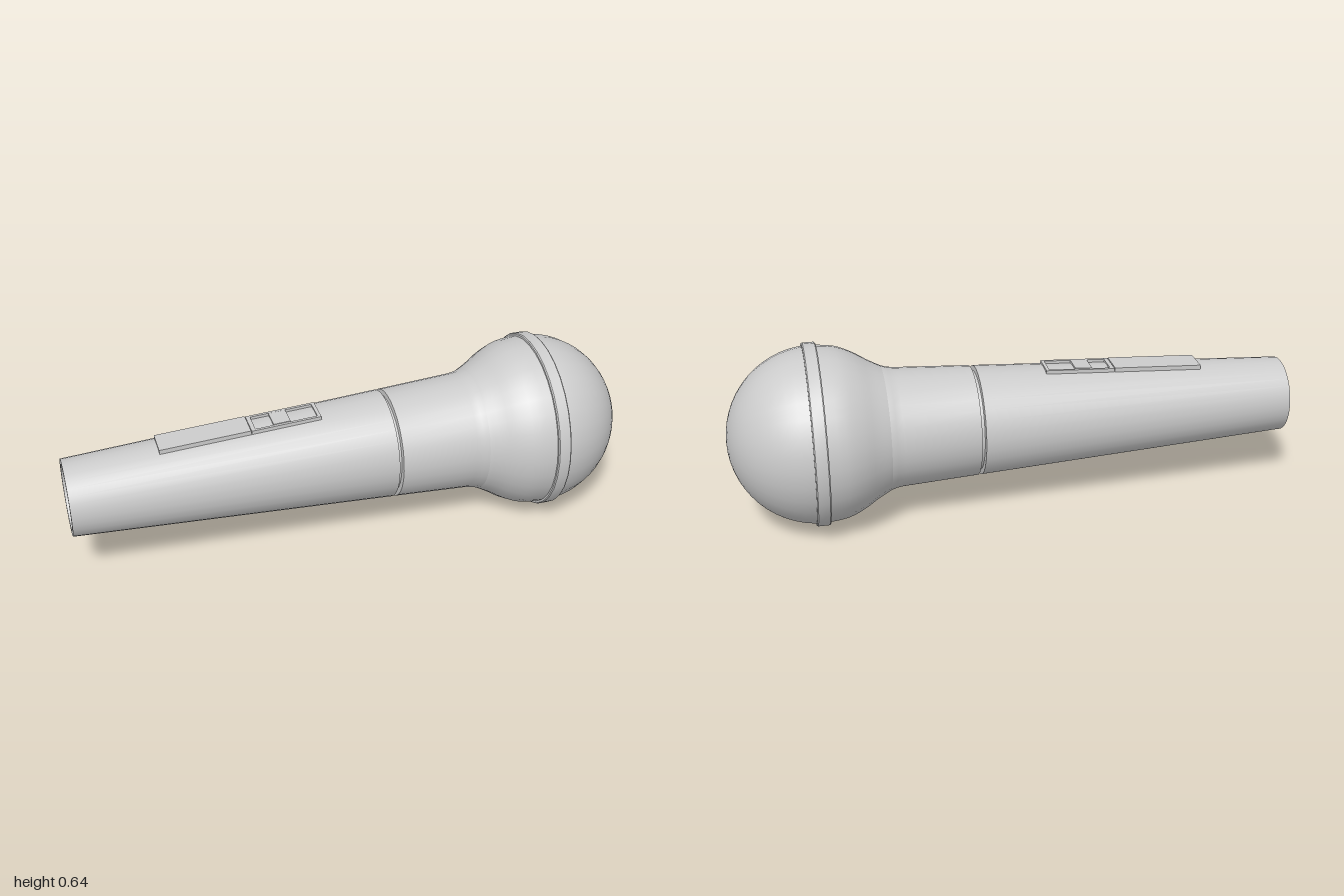
import * as THREE from 'three';
import { toCreasedNormals } from 'three/addons/utils/BufferGeometryUtils.js';

const AXIS_Y = 0.323;   // height of the long axis
const SQUASH = 0.975;   // body is slightly narrower in z
const SLOPE = 0.0535;   // taper of the handle
const radiusAt = (x) => 0.135 + (x + 1) * SLOPE;

const material = new THREE.MeshStandardMaterial({ color: 0xcccccc });

function addMesh(parent, name, geometry, x = 0, y = 0, z = 0) {
  const mesh = new THREE.Mesh(geometry, material);
  mesh.name = name;
  mesh.position.set(x, y, z);
  parent.add(mesh);
  return mesh;
}

// Turns a profile of [x, radius] pairs around the long axis
function addTurned(parent, name, profile) {
  const points = profile.map(([x, r]) => new THREE.Vector2(r, x));
  const geometry = toCreasedNormals(new THREE.LatheGeometry(points, 32), 0.5);
  const mesh = addMesh(parent, name, geometry, 0, AXIS_Y, 0);
  mesh.rotation.z = -Math.PI / 2;
  mesh.scale.z = SQUASH;
  return mesh;
}

export function createModel() {
  const model = new THREE.Group();
  model.name = 'microphone';

  // Handle: socket cavity, tapered barrel, narrow groove, collar
  addTurned(model, 'handle', [
    [-0.84, 0], [-0.84, 0.115], [-1, 0.115], [-1, 0.135],
    [0.128, radiusAt(0.128)], [0.13, 0.178], [0.14, 0.178], [0.142, radiusAt(0.142)],
    [0.41, 0.211], [0.435, 0.215], [0.455, 0.222], [0.47, 0.222], [0.47, 0.12],
  ]);

  // Lower grille: flared cup up to the ring
  const cup = new THREE.SplineCurve([
    [0.455, 0.222], [0.5, 0.246], [0.55, 0.277], [0.61, 0.302], [0.69, 0.312],
  ].map((p) => new THREE.Vector2(...p)));
  addTurned(model, 'lowerGrille', cup.getPoints(12).map((p) => [p.x, p.y]));

  // Upper grille: dome
  const dome = [];
  for (let i = 0; i <= 14; i++) {
    const a = (i / 14) * Math.PI / 2;
    dome.push([0.69 + 0.31 * Math.sin(a), i === 14 ? 0 : 0.312 * Math.cos(a)]);
  }
  addTurned(model, 'upperGrille', dome);

  // Band around the grille
  addTurned(model, 'grilleRing', [
    [0.672, 0.3], [0.672, 0.318], [0.676, 0.321], [0.716, 0.321], [0.72, 0.318], [0.72, 0.3],
  ]);

  // Switch assembly, lying along the tapered top; local y = 0 is the surface
  const switchGroup = new THREE.Group();
  switchGroup.name = 'switchAssembly';
  const midX = -0.36;
  switchGroup.position.set(midX, AXIS_Y + radiusAt(midX), 0);
  switchGroup.rotation.z = Math.atan(SLOPE);
  model.add(switchGroup);

  addMesh(switchGroup, 'switchPlate', new THREE.BoxGeometry(0.318, 0.024, 0.098), -0.161, -0.005, 0);

  // Frame with a rectangular slot
  const frame = new THREE.Shape([[0, -0.049], [0.247, -0.049], [0.247, 0.049], [0, 0.049]]
    .map((p) => new THREE.Vector2(...p)));
  frame.holes.push(new THREE.Path([[0.015, -0.039], [0.015, 0.039], [0.235, 0.039], [0.235, -0.039]]
    .map((p) => new THREE.Vector2(...p))));
  const frameGeometry = new THREE.ExtrudeGeometry(frame, { depth: 0.022, bevelEnabled: false });
  frameGeometry.rotateX(-Math.PI / 2);
  addMesh(switchGroup, 'switchFrame', frameGeometry, 0, -0.017, 0);
  addMesh(switchGroup, 'switchSlider', new THREE.BoxGeometry(0.06, 0.014, 0.074), 0.11, -0.001, 0);

  // Connector pins inside the socket
  for (let i = 0; i < 3; i++) {
    const a = Math.PI / 2 + (i * Math.PI * 2) / 3;
    const pin = addMesh(model, 'connectorPin', new THREE.CapsuleGeometry(0.012, 0.13, 4, 12),
      -0.9, AXIS_Y - 0.06 * Math.sin(a), 0.06 * Math.cos(a));
    pin.rotation.z = Math.PI / 2;
  }

  return model;
}
